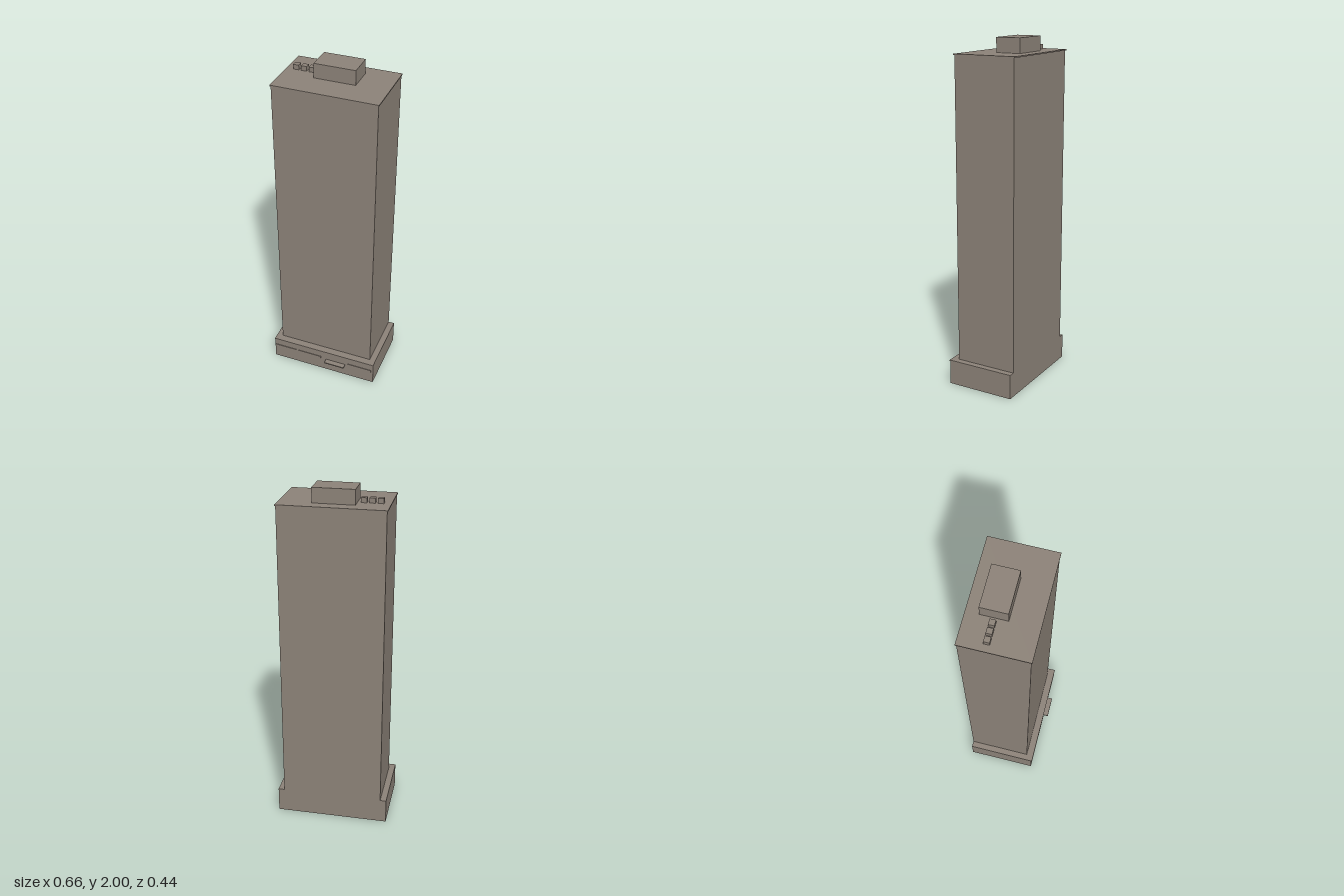
import * as THREE from 'three';

export function createModel() {
  const model = new THREE.Group();
  model.name = 'officeTower';
  const stone = new THREE.MeshStandardMaterial({ color: 0x8c8278, side: THREE.DoubleSide });
  stone.name = 'warm grey stone';

  // Box given by its limits on each axis; openBottom drops the floor face
  function block(name, [x0, x1], [y0, y1], [z0, z1], openBottom = false) {
    const geometry = new THREE.BoxGeometry(x1 - x0, y1 - y0, z1 - z0);
    if (openBottom) {
      const index = Array.from(geometry.index.array);
      index.splice(18, 6);
      geometry.setIndex(index);
      geometry.clearGroups();
    }
    const mesh = new THREE.Mesh(geometry, stone);
    mesh.name = name;
    mesh.position.set((x0 + x1) / 2, (y0 + y1) / 2, (z0 + z1) / 2);
    model.add(mesh);
  }

  // Hollow podium with a slim ledge along the front
  block('podium', [-0.33, 0.33], [0, 0.147], [-0.216, 0.189], true);
  block('podiumLedge', [-0.33, 0.33], [0.141, 0.147], [0.189, 0.193]);

  // Tower shaft, flush with the podium at the back
  block('tower', [-0.294, 0.294], [0.147, 1.91], [-0.216, 0.15], true);
  block('roofSlab', [-0.298, 0.298], [1.91, 1.917], [-0.222, 0.155]);

  // Rooftop plant room and cooling units
  block('plantRoom', [-0.118, 0.116], [1.917, 2], [-0.15, -0.004], true);
  for (const x of [-0.243, -0.198, -0.153]) {
    block('coolingUnit', [x - 0.016, x + 0.016], [1.917, 1.944], [-0.093, -0.061], true);
  }

  // Shopfront fascia bands and the entrance canopy
  for (const span of [[-0.325, -0.184], [-0.17, -0.017], [0.163, 0.316]]) {
    block('fasciaBand', span, [0.082, 0.097], [0.189, 0.192]);
  }
  block('entranceCanopy', [0.018, 0.145], [0.078, 0.085], [0.189, 0.22]);

  return model;
}
